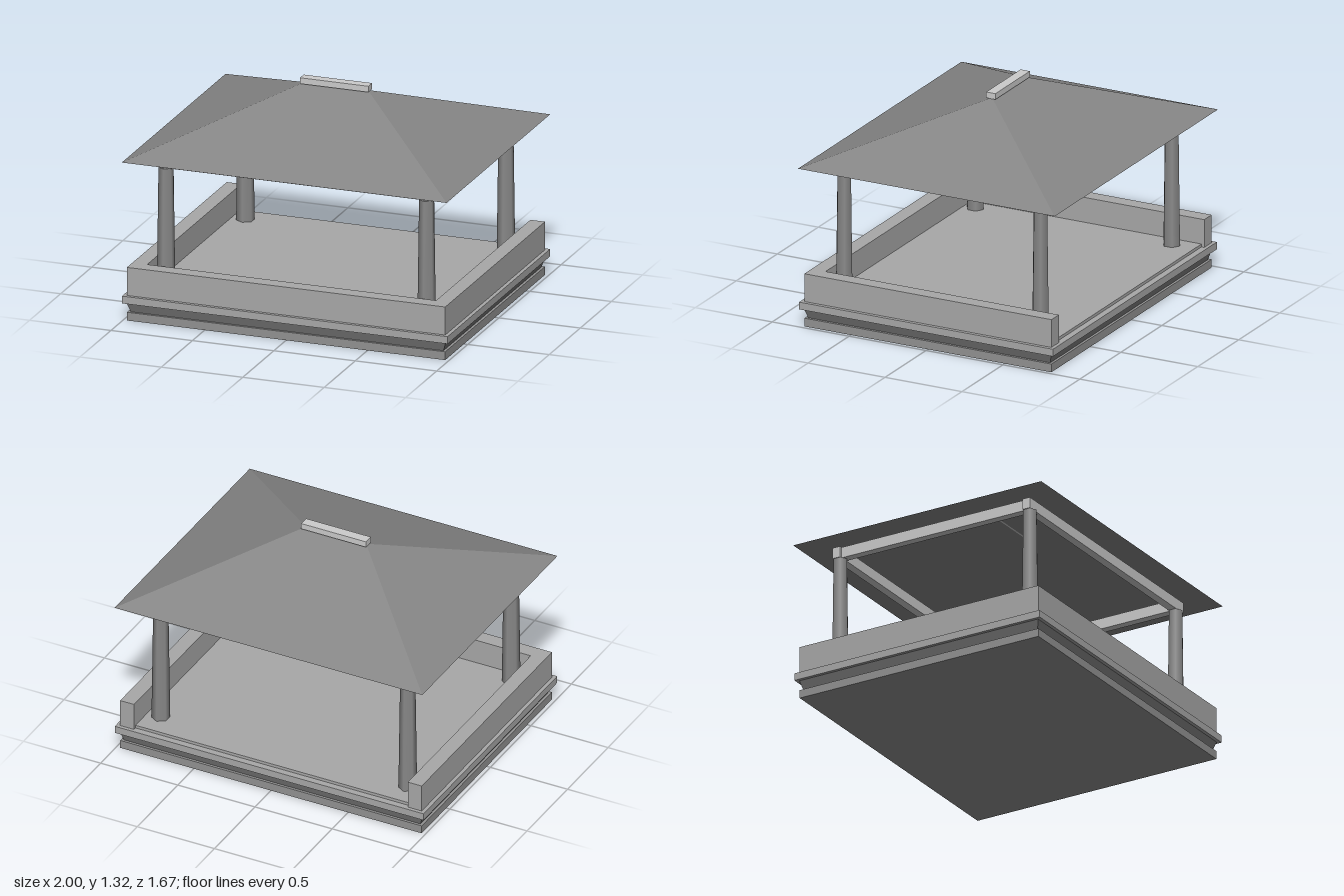
import * as THREE from 'three';

export function createModel() {
  const group = new THREE.Group();
  group.name = 'pavilion';

  // Shades: dark roof and posts, mid stone base, light trim
  const shade = (color) => new THREE.MeshStandardMaterial({ color });
  const trim = shade(0xc4c4c4);
  const stone = shade(0xa8a8a8);
  const plinthStone = shade(0x929292);
  const neckStone = shade(0x787878);
  const wood = shade(0x8a8a8a);
  const tile = shade(0x868686);
  tile.side = THREE.DoubleSide;

  const add = (name, geometry, material) => {
    const mesh = new THREE.Mesh(geometry, material);
    mesh.name = name;
    group.add(mesh);
    return mesh;
  };

  // Box given by half width, half depth and its bottom and top heights
  const block = (name, material, hx, hz, y0, y1, x = 0, z = 0) => {
    const mesh = add(name, new THREE.BoxGeometry(2 * hx, y1 - y0, 2 * hz), material);
    mesh.position.set(x, (y0 + y1) / 2, z);
    return mesh;
  };

  // Stepped base: plinth, flared neck, slab, raised floor
  block('plinth', plinthStone, 0.977, 0.803, 0, 0.05);
  const neck = block('neck', neckStone, 0.98, 0.803, 0.05, 0.108);
  const p = neck.geometry.attributes.position;
  for (let i = 0; i < p.count; i++) {
    if (p.getY(i) < 0) p.setXYZ(i, p.getX(i) * 0.98, p.getY(i), p.getZ(i) * 0.98);
  }
  neck.geometry.computeVertexNormals();
  block('slab', stone, 1, 0.825, 0.108, 0.152);
  block('floor', stone, 0.9, 0.785, 0.15, 0.17);

  // Low parapet on the front and both sides, open at the back
  const X = 0.977, Z = 0.803, T = 0.09;
  const outline = new THREE.Shape([
    [-X, -Z], [X, -Z], [X, Z], [X - T, Z],
    [X - T, -Z + T], [-X + T, -Z + T], [-X + T, Z], [-X, Z],
  ].map(([x, y]) => new THREE.Vector2(x, y)));
  const parapet = new THREE.ExtrudeGeometry(outline, { depth: 0.17, bevelEnabled: false });
  parapet.rotateX(-Math.PI / 2).translate(0, 0.152, 0);
  add('parapet', parapet, stone);

  // Tapered six-sided posts with softened edges
  const postX = 0.8, postZ = 0.638;
  for (const sx of [-1, 1]) {
    for (const sz of [-1, 1]) {
      const post = add('post', new THREE.CylinderGeometry(0.044, 0.054, 0.75, 6), wood);
      post.position.set(sx * postX, 0.527, sz * postZ);
    }
  }

  // Ring of beams under the eaves
  for (const s of [-1, 1]) {
    block('longBeam', trim, 0.843, 0.025, 0.902, 0.968, 0, s * postZ);
    block('crossBeam', trim, 0.025, postZ - 0.025, 0.902, 0.968, s * postX, 0);
  }

  // Hollow hipped roof: four eave corners and two ridge ends
  const eave = 0.966, ridge = 1.284, rx = 0.195, ex = 0.997, ez = 0.834;
  const roof = new THREE.BufferGeometry();
  roof.setAttribute('position', new THREE.Float32BufferAttribute([
    -ex, eave, ez, ex, eave, ez, ex, eave, -ez, -ex, eave, -ez,
    -rx, ridge, 0, rx, ridge, 0,
  ], 3));
  roof.setIndex([0, 1, 5, 0, 5, 4, 1, 2, 5, 2, 3, 4, 2, 4, 5, 3, 0, 4]);
  const roofFaces = roof.toNonIndexed();
  roofFaces.computeVertexNormals();
  add('roof', roofFaces, tile);

  // Cap along the ridge
  block('ridgeCap', trim, 0.21, 0.03, 1.282, 1.318);

  return group;
}
